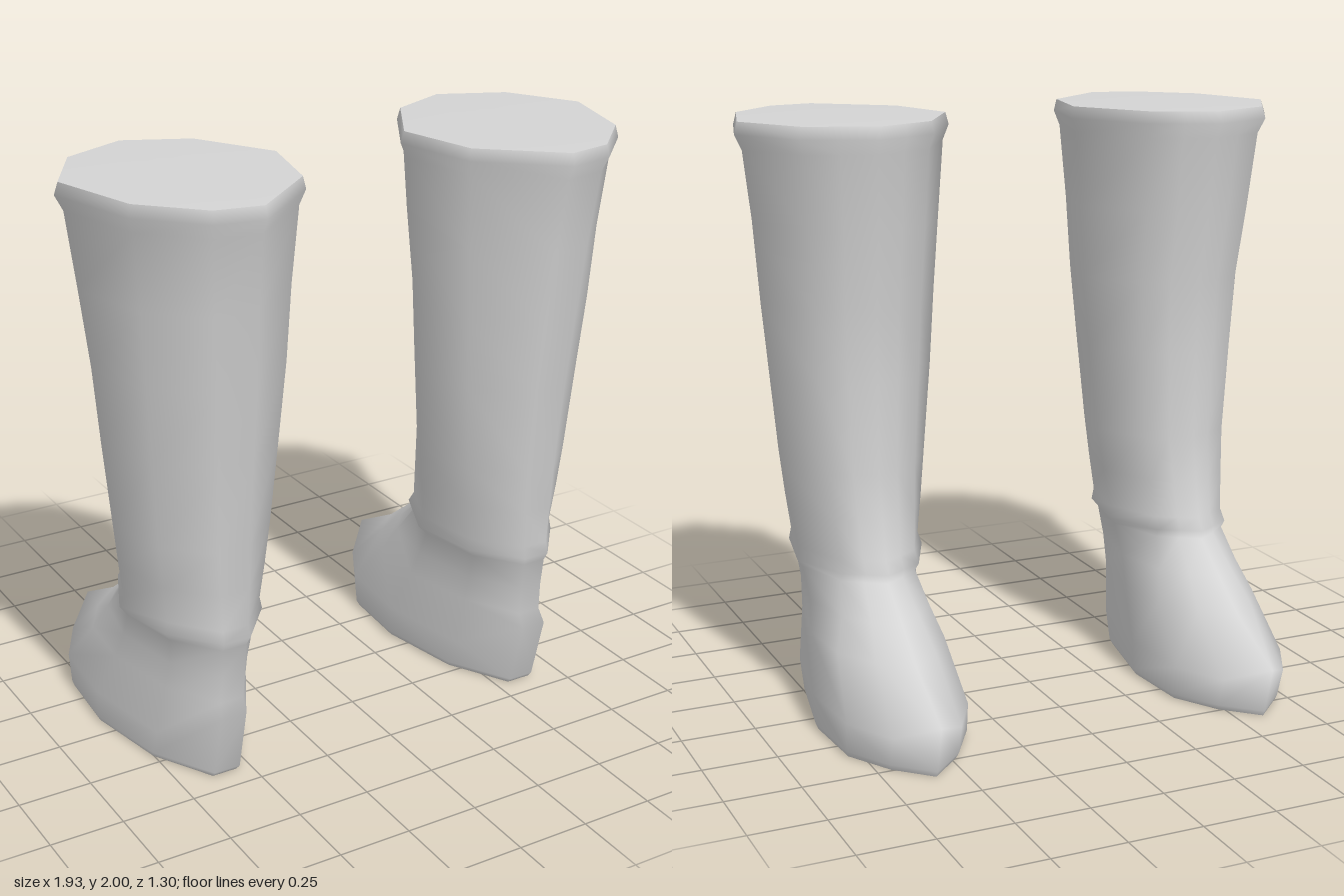
import * as THREE from 'three';

// Outlines run from the toe side (-z) round the outer side (+x) to the heel
const CUFF = [[0, -0.22], [0.115, -0.17], [0.23, -0.12], [0.37, 0.12], [0.28, 0.44], [0.1, 0.62],
  [-0.06, 0.65], [-0.31, 0.44], [-0.38, 0.15], [-0.22, -0.12], [-0.11, -0.17]];
const FOOT = [[0, -0.65], [0.115, -0.53], [0.207, -0.36], [0.225, -0.08], [0.165, 0.25], [0.045, 0.48],
  [-0.045, 0.48], [-0.165, 0.25], [-0.225, -0.08], [-0.207, -0.36], [-0.115, -0.53]];
const N = CUFF.length;

// Scale an outline to fill -1..1 on both axes
function normalise(pts) {
  const fit = (k) => {
    const v = pts.map((p) => p[k]);
    const lo = Math.min(...v), hi = Math.max(...v);
    return v.map((a) => ((a - lo) / (hi - lo)) * 2 - 1);
  };
  const xs = fit(0), zs = fit(1);
  return xs.map((x, i) => [x, zs[i]]);
}
const cuffShape = normalise(CUFF);
const footShape = normalise(FOOT);
const calfShape = normalise(CUFF.map(([x, z], i) => {
  const [mx, mz] = CUFF[(N - i) % N];
  return [(x - mx) / 2, (z + mz) / 2];
}));

// One cross-section; lift(i) raises single points above the ring height
function ring(shape, y, x0, x1, z0, z1, lift = () => 0) {
  return shape.map(([x, z], i) => [
    (x0 + x1) / 2 + (x * (x1 - x0)) / 2,
    y + lift(i),
    (z0 + z1) / 2 + (z * (z1 - z0)) / 2,
  ]);
}

const mix = (a, b, t) => a.map(([x, z], i) => [x + (b[i][0] - x) * t, z + (b[i][1] - z) * t]);

// Toe and heel of the foot edge sweep upward
const edgeLift = (i) => (i === 0 ? 0.06 : i === 5 || i === 6 ? 0.13 : 0);

const soleRing = ring(footShape, 0, 0.375, 0.81, -0.6, 0.415);
const footRings = [
  ring(footShape, 0.02, 0.364, 0.818, -0.612, 0.432),
  ring(footShape, 0.12, 0.366, 0.82, -0.652, 0.488, edgeLift),
  ring(footShape, 0.3, 0.385, 0.79, -0.43, 0.467),
  ring(mix(footShape, calfShape, 0.4), 0.4, 0.392, 0.777, -0.3, 0.475),
  ring(mix(footShape, calfShape, 0.8), 0.5, 0.387, 0.783, -0.17, 0.485),
];
const bandRings = [
  ring(calfShape, 0.53, 0.36, 0.805, -0.178, 0.5),
  ring(calfShape, 0.57, 0.37, 0.795, -0.15, 0.49),
];
// height, x range, z range, blend from calf to cuff outline
const shaftRings = [
  [0.7, 0.35, 0.815, -0.125, 0.495, 0],
  [0.85, 0.33, 0.835, -0.1, 0.5, 0.1],
  [1.15, 0.3, 0.865, -0.105, 0.527, 0.3],
  [1.4, 0.28, 0.887, -0.115, 0.558, 0.5],
  [1.65, 0.265, 0.91, -0.16, 0.588, 0.8],
  [1.9, 0.245, 0.94, -0.19, 0.625, 1],
].map(([y, x0, x1, z0, z1, t]) => ring(mix(calfShape, cuffShape, t), y, x0, x1, z0, z1));
const cuffRings = [
  ring(cuffShape, 1.95, 0.225, 0.965, -0.217, 0.652),
  ring(cuffShape, 1.99, 0.235, 0.953, -0.203, 0.641),
];
const upperRings = [soleRing, ...footRings, ...bandRings, ...shaftRings, ...cuffRings];
const topRing = cuffRings[1];

// Smooth geometry from points and triangles, mirrored across x when side is -1
function build(points, tris, side) {
  const g = new THREE.BufferGeometry();
  g.setAttribute('position', new THREE.Float32BufferAttribute(
    points.flatMap(([x, y, z]) => [x * side, y, z]), 3));
  g.setIndex(tris.flatMap(([a, b, c]) => (side > 0 ? [a, b, c] : [a, c, b])));
  g.computeVertexNormals();
  return g;
}

function loft(rings, side) {
  const tris = [];
  for (let r = 0; r < rings.length - 1; r++) {
    for (let i = 0; i < N; i++) {
      const j = (i + 1) % N;
      const a = r * N + i, b = r * N + j, c = b + N, d = a + N;
      tris.push([a, d, c], [a, c, b]);
    }
  }
  return build(rings.flat(), tris, side);
}

function cap(points, centre, up, side) {
  const tris = points.map((p, i) => {
    const j = (i + 1) % N;
    return up ? [N, j, i] : [N, i, j];
  });
  return build([...points, centre], tris, side);
}

export function createModel() {
  const leather = new THREE.MeshStandardMaterial({ color: 0xd4d4d4 });
  leather.name = 'pale grey leather';
  const model = new THREE.Group();
  model.name = 'boots';

  for (const [name, side] of [['leftBoot', 1], ['rightBoot', -1]]) {
    const boot = new THREE.Group();
    boot.name = name;
    const add = (part, geometry) => {
      const mesh = new THREE.Mesh(geometry, leather);
      mesh.name = part;
      boot.add(mesh);
    };
    // Foot, ankle band, shaft and cuff in one smooth skin
    add('bootUpper', loft(upperRings, side));
    // Flat closing faces
    add('sole', cap(soleRing, [0.592, 0, -0.05], false, side));
    add('topCap', cap(topRing, [0.594, 2, 0.2], true, side));
    model.add(boot);
  }
  return model;
}
